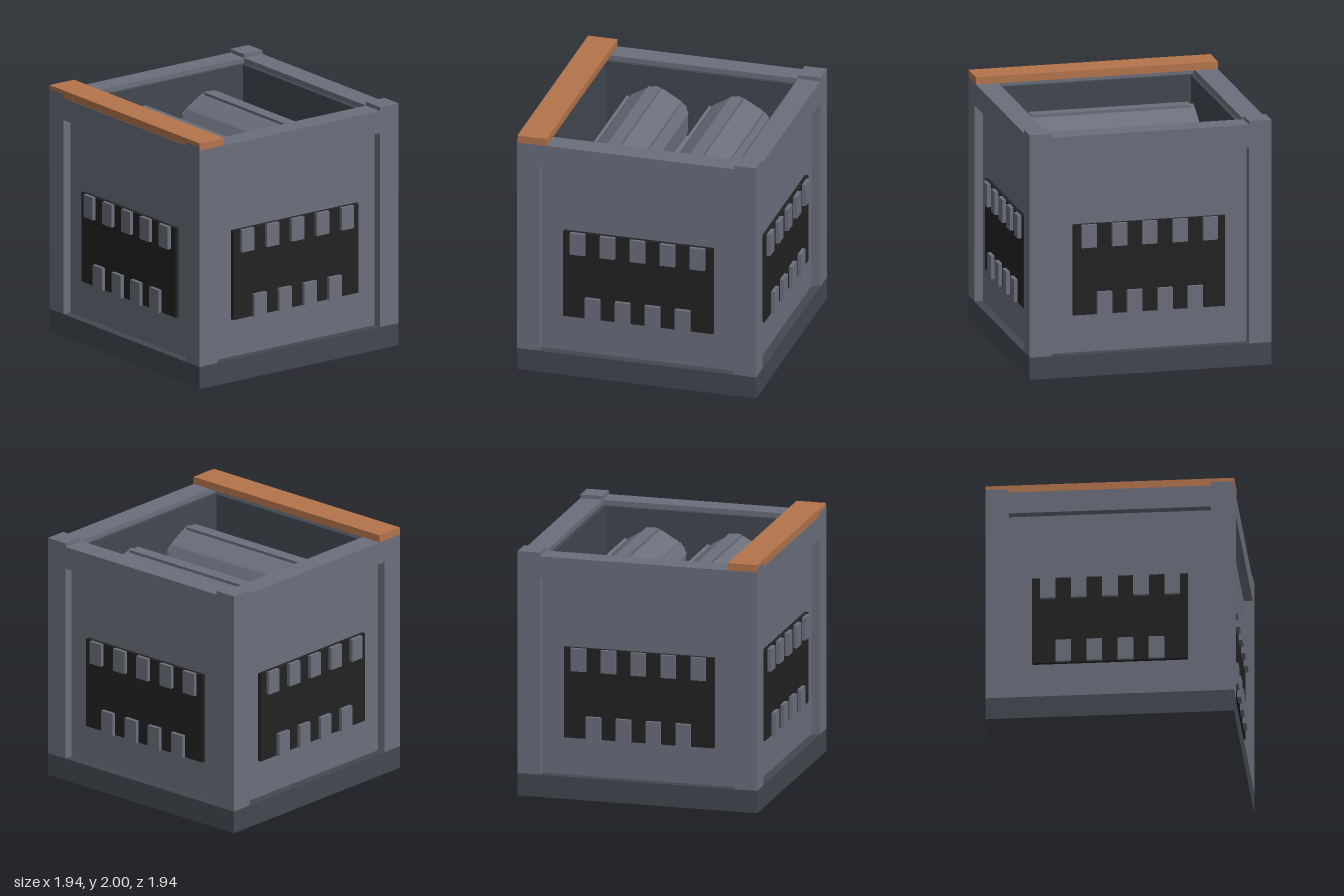
import * as THREE from 'three';

const paint = (name, color) => Object.assign(new THREE.MeshStandardMaterial({ color }), { name });

export function createModel() {
  const grey = paint('steel grey', 0x6b6f7c);
  const slate = paint('dark slate', 0x424850);
  const black = paint('black', 0x222222);
  const orange = paint('copper orange', 0xb4744b);
  const model = new THREE.Group();
  model.name = 'shredderBox';

  // Box given by its lower and upper corners
  function box(parent, name, mat, [x0, y0, z0], [x1, y1, z1]) {
    const mesh = new THREE.Mesh(new THREE.BoxGeometry(x1 - x0, y1 - y0, z1 - z0), mat);
    mesh.position.set((x0 + x1) / 2, (y0 + y1) / 2, (z0 + z1) / 2);
    mesh.name = name;
    parent.add(mesh);
    return mesh;
  }

  // Base and hopper floor
  box(model, 'base', slate, [-0.97, 0, -0.97], [0.97, 0.18, 0.97]);
  box(model, 'hopperFloor', black, [-0.79, 0.18, -0.79], [0.79, 0.24, 0.79]);

  // Corner posts
  for (const sx of [-1, 1]) for (const sz of [-1, 1]) {
    const post = box(model, 'cornerPost', grey, [-0.09, 0.18, -0.09], [0.09, 1.97, 0.09]);
    post.position.x = sx * 0.88;
    post.position.z = sz * 0.88;
  }

  // Four equal sides: top beam, recessed panel, inner liner and toothed vent
  for (let i = 0; i < 4; i++) {
    const side = new THREE.Group();
    side.name = ['front', 'left', 'back', 'right'][i] + 'Side';
    side.rotation.y = i * Math.PI / 2;
    box(side, 'topBeam', grey, [-0.79, 1.76, 0.79], [0.79, 1.94, 0.97]);
    box(side, 'panel', grey, [-0.79, 0.18, 0.79], [0.79, 1.76, 0.9]);
    box(side, 'liner', slate, [-0.79, 0.2, 0.76], [0.79, 1.9, 0.79]);
    box(side, 'ventPlate', black, [-0.608, 0.485, 0.9], [0.608, 1.212, 0.93]);
    for (let k = -2; k <= 2; k++) {
      const x = k * 0.243;
      box(side, 'upperVentTooth', grey, [x - 0.06, 1.03, 0.93], [x + 0.06, 1.213, 0.96]);
    }
    for (let k = -1.5; k <= 1.5; k++) {
      const x = k * 0.243;
      box(side, 'lowerVentTooth', grey, [x - 0.06, 0.484, 0.93], [x + 0.06, 0.668, 0.96]);
    }
    model.add(side);
  }

  // Feed lip across the front
  box(model, 'frontLip', orange, [-0.971, 1.941, 0.73], [0.971, 2, 0.968]);

  // Twelve-sided drum with a ridge and a cutter bar on every second facet
  const profile = new THREE.Shape();
  for (let i = 0; i < 6; i++) {
    for (const [deg, r] of [[-15, 0.27], [0, 0.286], [15, 0.27]]) {
      const a = (i * 60 + deg + 90) * Math.PI / 180;
      const x = r * Math.cos(a), y = r * Math.sin(a);
      if (i === 0 && deg === -15) profile.moveTo(x, y);
      else profile.lineTo(x, y);
    }
  }
  const drumGeo = new THREE.ExtrudeGeometry(profile, { depth: 1.34, bevelEnabled: false });
  drumGeo.translate(0, 0, -0.67).rotateY(Math.PI / 2);

  for (const z of [-0.34, 0.33]) {
    const roller = new THREE.Group();
    roller.name = 'shredderRoller';
    roller.position.set(0, 1.5, z);
    const drum = new THREE.Mesh(drumGeo, grey);
    drum.name = 'drum';
    roller.add(drum);
    for (let i = 0; i < 6; i++) {
      const arm = new THREE.Group();
      arm.name = 'cutter';
      arm.rotation.x = i * Math.PI / 3;
      box(arm, 'cutterBar', grey, [-0.64, 0.2, -0.05], [0.64, 0.29, 0.05]);
      roller.add(arm);
    }
    model.add(roller);
  }
  return model;
}
